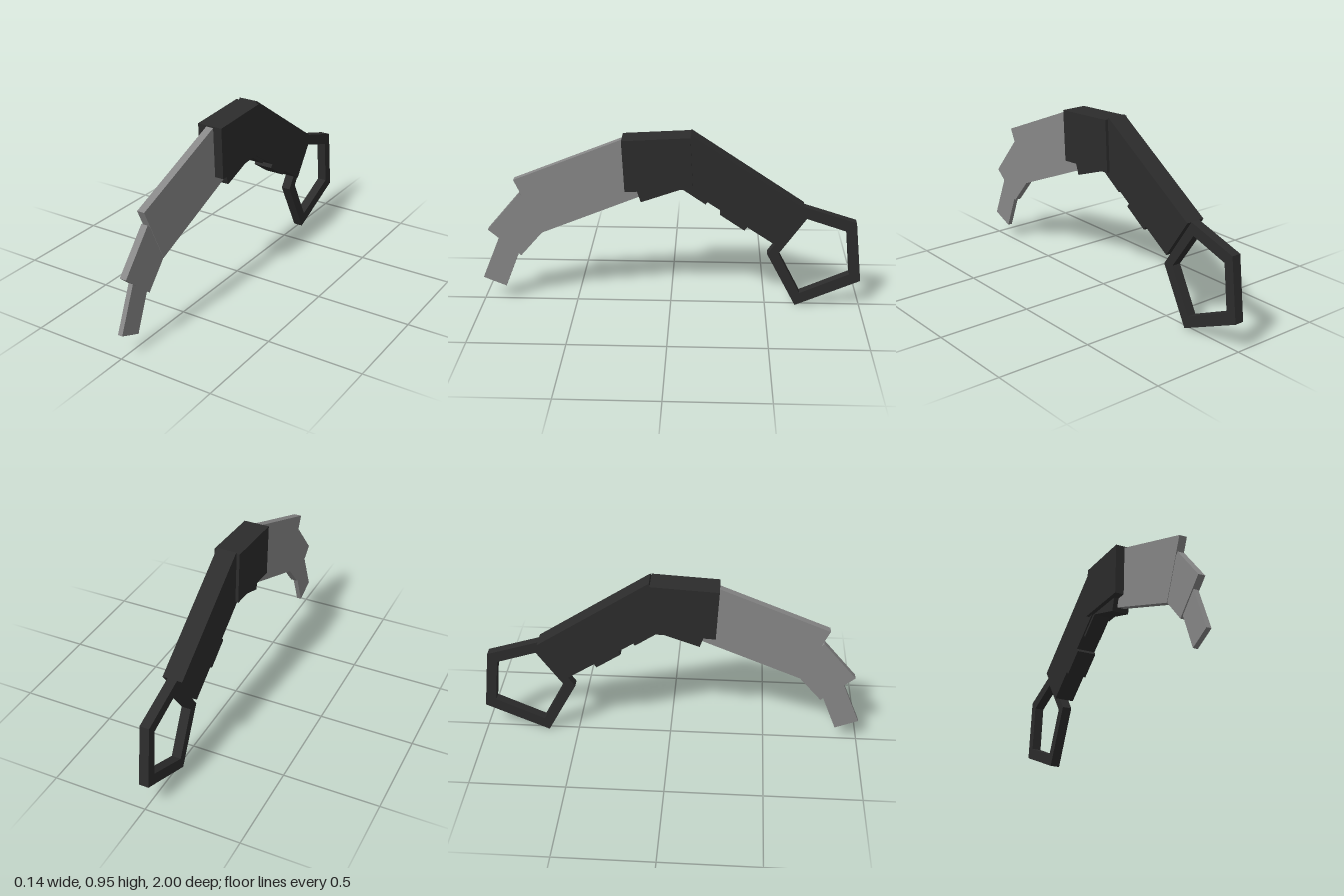
import * as THREE from 'three';

const steel = new THREE.MeshStandardMaterial({ color: 0x888888, flatShading: true });
const dark = new THREE.MeshStandardMaterial({ color: 0x2c2c2c, flatShading: true });

const toPoints = (pts) => pts.map(([z, y]) => new THREE.Vector2(z, y));

// Flat slab: side outline given as [z, y] points, centred on x = 0
function slab(name, outline, halfWidth, material, hole) {
  const shape = new THREE.Shape(toPoints(outline));
  if (hole) shape.holes.push(new THREE.Path(toPoints(hole)));
  const geometry = new THREE.ExtrudeGeometry(shape, { depth: halfWidth * 2, bevelEnabled: false });
  geometry.translate(0, 0, -halfWidth);
  geometry.rotateY(-Math.PI / 2);
  const mesh = new THREE.Mesh(geometry, material);
  mesh.name = name;
  return mesh;
}

export function createModel() {
  const model = new THREE.Group();
  model.name = 'curvedKnife';

  // Blade in three stepped, narrowing segments
  model.add(
    slab('bladeBase', [[0.81, 0.69], [0.235, 0.92], [0.12, 0.625], [0.675, 0.398]], 0.02, steel),
    slab('bladeMiddle', [[0.96, 0.41], [0.785, 0.615], [0.62, 0.46], [0.79, 0.265]], 0.018, steel),
    slab('bladeTip', [[1.0, 0.132], [0.885, 0.41], [0.77, 0.36], [0.88, 0.083]], 0.0125, steel)
  );

  // Guard block and the finger stop beneath it
  model.add(
    slab('guard', [[0.247, 0.922], [-0.1, 0.942], [-0.115, 0.67], [0.233, 0.65]], 0.068, dark),
    slab('fingerStop', [[0.19, 0.7], [0.152, 0.587], [-0.06, 0.662], [-0.03, 0.74]], 0.045, dark)
  );

  // Handle with two grip ridges on its underside
  model.add(
    slab('handle', [[-0.104, 0.952], [-0.688, 0.565], [-0.548, 0.36], [0.0, 0.72]], 0.052, dark),
    slab('frontRidge', [[-0.035, 0.73], [-0.055, 0.665], [-0.18, 0.58], [-0.225, 0.645]], 0.045, dark),
    slab('rearRidge', [[-0.29, 0.58], [-0.254, 0.527], [-0.382, 0.441], [-0.42, 0.495]], 0.052, dark)
  );

  // Five-sided finger ring
  model.add(slab('fingerRing',
    [[-0.688, 0.565], [-0.96, 0.48], [-0.998, 0.152], [-0.66, 0.004], [-0.505, 0.297]], 0.025, dark,
    [[-0.703, 0.5], [-0.912, 0.432], [-0.938, 0.19], [-0.682, 0.075], [-0.564, 0.302]]));

  return model;
}
